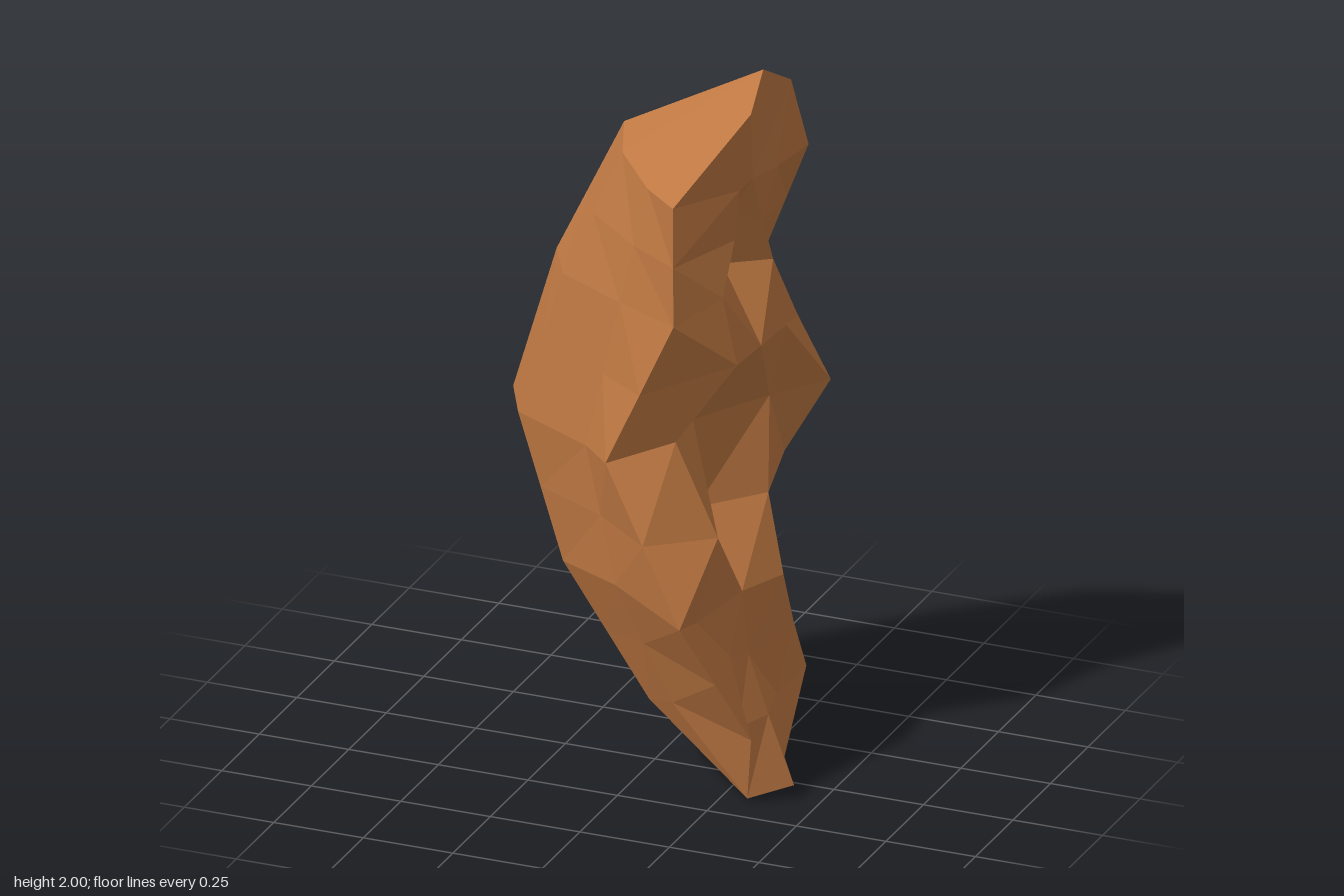
import * as THREE from 'three';

// Outer skin: seven levels from top to bottom, each running front rim -> convex back -> rear rim.
const SKIN = [
  [[0.325, 1.93, 0.135], [0.325, 1.93, 0.135], [0.325, 1.93, 0.135], [0.305, 2, 0.005], [0.33, 1.925, -0.12], [0.33, 1.925, -0.12], [0.33, 1.925, -0.12]],
  [[0.18, 1.71, 0.31], [0.07, 1.71, 0.217], [-0.045, 1.75, 0.11], [-0.09, 1.78, -0.01], [-0.03, 1.73, -0.125], [0.13, 1.65, -0.18], [0.335, 1.7, -0.225]],
  [[0.19, 1.385, 0.33], [0, 1.385, 0.235], [-0.2, 1.39, 0.135], [-0.27, 1.4, 0.01], [-0.2, 1.38, -0.12], [0, 1.37, -0.195], [0.195, 1.36, -0.265]],
  [[0, 0.97, 0.33], [-0.09, 0.97, 0.245], [-0.33, 0.975, 0.125], [-0.4, 0.98, -0.01], [-0.31, 0.97, -0.14], [-0.06, 0.97, -0.29], [0.33, 0.97, -0.385]],
  [[0.23, 0.56, 0.385], [0, 0.6, 0.265], [-0.2, 0.58, 0.135], [-0.27, 0.56, 0], [-0.2, 0.575, -0.1], [0, 0.59, -0.19], [0.14, 0.6, -0.22]],
  [[0.365, 0.21, 0.23], [0.12, 0.25, 0.17], [0.03, 0.22, 0.11], [0, 0.18, 0], [0.05, 0.2, -0.1], [0.16, 0.22, -0.17], [0.335, 0.235, -0.21]],
  [[0.325, 0.01, 0.16], [0.325, 0.01, 0.16], [0.325, 0.01, 0.16], [0.395, 0, 0.015], [0.32, 0.02, -0.1], [0.32, 0.02, -0.1], [0.32, 0.02, -0.1]],
];

// Position of the rear rim in each ring
const REAR_RIM = 6;

// Levels used for the mesh; halves lie midway between two skin levels.
const LEVELS = [0, 1, 1.5, 2, 2.5, 3, 3.5, 4, 4.5, 5, 6];

// Hollow side: three points per mesh level, rear to front, forming the shelves, notch and channel.
const HOLLOW = [
  [[0.33, 1.925, -0.12], [0.305, 2, 0.005], [0.325, 1.93, 0.135]],
  [[0.315, 1.7, -0.06], [0.285, 1.7, 0.03], [0.285, 1.7, 0.115]],
  [[0.28, 1.55, -0.05], [0.225, 1.59, 0.035], [0.265, 1.55, 0.1]],
  [[0.28, 1.41, -0.12], [0.187, 1.43, 0], [0.265, 1.42, 0.18]],
  [[0.3, 1.21, -0.16], [0.297, 1.217, 0], [0.295, 1.225, 0.155]],
  [[0.232, 0.98, -0.21], [0.135, 1.01, 0.07], [0.15, 1.01, 0.22]],
  [[0.25, 0.73, -0.16], [0.125, 0.74, 0.02], [0.26, 0.75, 0.2]],
  [[0.313, 0.53, -0.11], [0.265, 0.54, 0.05], [0.225, 0.53, 0.26]],
  [[0.32, 0.38, -0.16], [0.27, 0.35, 0.02], [0.267, 0.39, 0.135]],
  [[0.3, 0.2, -0.095], [0.325, 0.19, 0.02], [0.296, 0.2, 0.148]],
  [[0.32, 0.02, -0.1], [0.395, 0, 0.015], [0.325, 0.01, 0.16]],
];

// Closed loop of points at one mesh level
function ring(level, i) {
  const a = SKIN[Math.floor(level)];
  const b = SKIN[Math.ceil(level)];
  const t = level % 1;
  const skin = a.map((p, c) => new THREE.Vector3(...p).lerp(new THREE.Vector3(...b[c]), t));
  return [...skin, ...HOLLOW[i].map((p) => new THREE.Vector3(...p))];
}

// Joins neighbouring rings, splitting each quad on its shorter diagonal (the rear
// rim always slopes outward) and leaving out faces that collapse at the tips
function loft(rings) {
  const points = [];
  const tri = new THREE.Triangle();
  const face = (a, b, c) => {
    if (tri.set(a, b, c).getArea() > 1e-6) points.push(a, b, c);
  };
  for (let r = 0; r < rings.length - 1; r++) {
    const up = rings[r];
    const low = rings[r + 1];
    for (let c = 0; c < up.length; c++) {
      const n = (c + 1) % up.length;
      if (c !== REAR_RIM && up[c].distanceTo(low[n]) < up[n].distanceTo(low[c])) {
        face(up[c], up[n], low[n]);
        face(up[c], low[n], low[c]);
      } else {
        face(up[c], up[n], low[c]);
        face(up[n], low[n], low[c]);
      }
    }
  }
  const geometry = new THREE.BufferGeometry().setFromPoints(points);
  geometry.computeVertexNormals();
  return geometry;
}

export function createModel() {
  const model = new THREE.Group();
  model.name = 'curvedShell';

  // Faceted crescent body
  const body = new THREE.Mesh(
    loft(LEVELS.map(ring)),
    new THREE.MeshStandardMaterial({ color: 0xbf7842, flatShading: true }),
  );
  body.name = 'shellBody';
  model.add(body);

  // Small dark knot set into the rear face
  const knot = new THREE.Mesh(
    new THREE.IcosahedronGeometry(1, 1),
    new THREE.MeshStandardMaterial({ color: 0x4a2a1c, flatShading: true }),
  );
  knot.name = 'darkKnot';
  knot.scale.set(0.09, 0.14, 0.05);
  knot.position.set(0.05, 0.88, -0.252);
  knot.rotation.set(-0.25, 0.2, -0.2);
  model.add(knot);

  return model;
}
